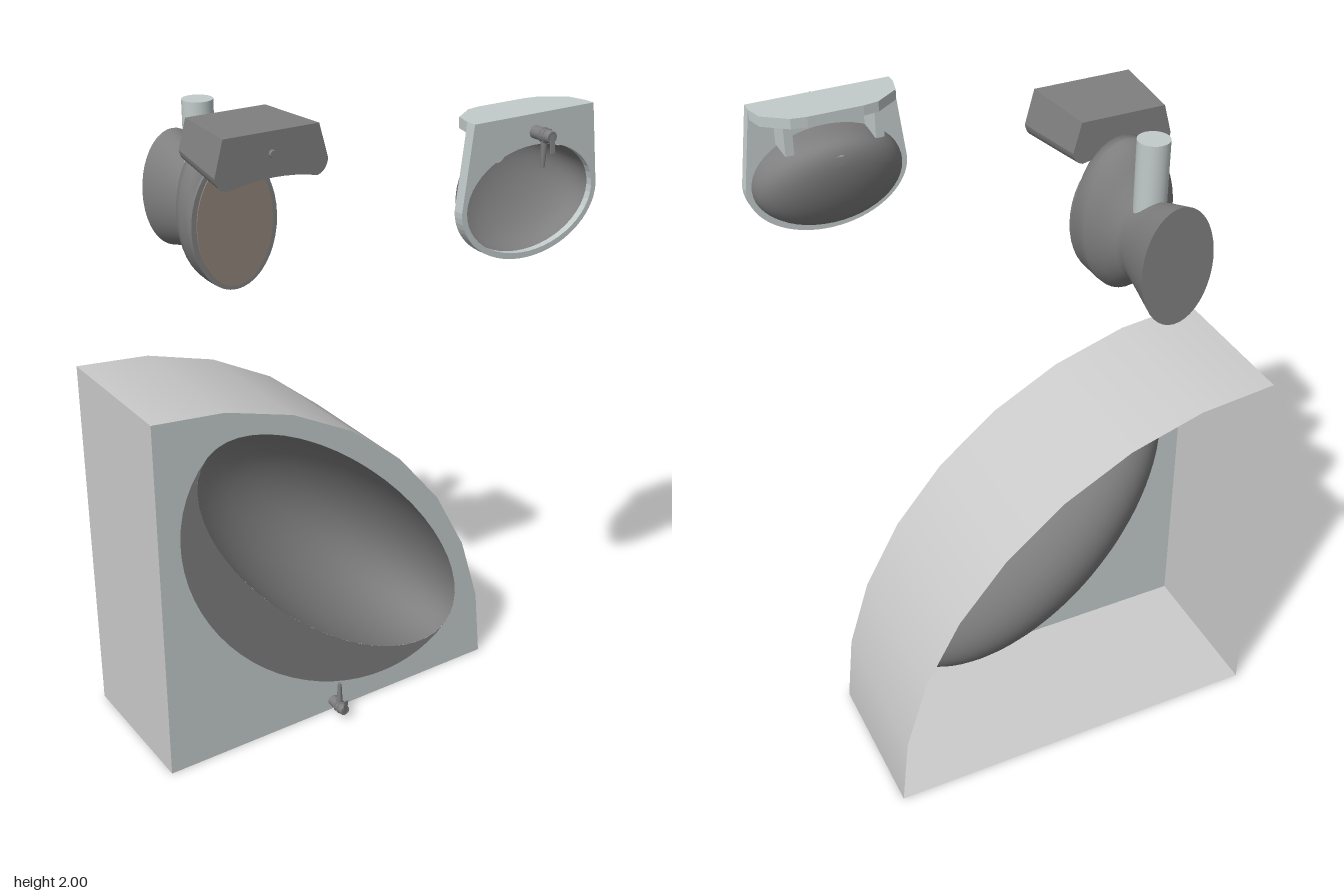
import * as THREE from 'three';
import { mergeVertices } from 'three/addons/utils/BufferGeometryUtils.js';

const mat = (color) => new THREE.MeshStandardMaterial({ color, side: THREE.DoubleSide });
const grey = mat(0xcccccc), pale = mat(0xc3cbcb), dark = mat(0x7f7f7f), tan = mat(0x8f8378);

function add(parent, name, geometry, material, x = 0, y = 0, z = 0) {
  const mesh = new THREE.Mesh(geometry, material);
  mesh.name = name;
  mesh.position.set(x, y, z);
  parent.add(mesh);
  return mesh;
}

function group(parent, name, x = 0, y = 0, z = 0) {
  const g = new THREE.Group();
  g.name = name;
  g.position.set(x, y, z);
  parent.add(g);
  return g;
}

// Points on an ellipse from angle a to angle b
function arc(rx, ry, a, b, n, cx = 0, cy = 0) {
  return Array.from({ length: n + 1 }, (_, i) => {
    const t = a + ((b - a) * i) / n;
    return new THREE.Vector2(cx + rx * Math.cos(t), cy + ry * Math.sin(t));
  });
}

// Half ellipsoid, open towards +z
function halfBowl(rx, ry, depth) {
  return new THREE.SphereGeometry(1, 48, 16, 0, Math.PI * 2, Math.PI / 2, Math.PI / 2)
    .rotateX(Math.PI / 2).scale(rx, ry, depth);
}

// Smooth loft of ellipses along z; each section is [z, centreY, rx, ry]
function loft(sections) {
  const g = new THREE.LatheGeometry(sections.map((_, i) => new THREE.Vector2(1, i)), 40);
  g.rotateX(Math.PI / 2);
  const p = g.attributes.position;
  for (let i = 0; i < p.count; i++) {
    const [z, cy, rx, ry] = sections[Math.round(p.getZ(i))];
    p.setXYZ(i, p.getX(i) * rx, cy + p.getY(i) * ry, z);
  }
  g.deleteAttribute('uv');
  g.deleteAttribute('normal');
  const merged = mergeVertices(g, 1e-5);
  merged.computeVertexNormals();
  return merged;
}

// Tap standing out along +z, spout pointing to -y
function addTap(parent, x, y, z) {
  const tap = group(parent, 'tap', x, y, z);
  add(tap, 'tapBody', new THREE.CylinderGeometry(0.018, 0.018, 0.06, 16).rotateX(Math.PI / 2), dark, 0, 0, 0.03);
  for (const rz of [0.037, 0.052])
    add(tap, 'tapRing', new THREE.TorusGeometry(0.018, 0.003, 6, 16), dark, 0, 0, rz);
  add(tap, 'tapCap', new THREE.CylinderGeometry(0.016, 0.018, 0.013, 16).rotateX(Math.PI / 2), dark, 0, 0, 0.066);
  add(tap, 'spout', new THREE.CylinderGeometry(0.011, 0.006, 0.09, 12), dark, 0, -0.045, 0.04);
  const lever = add(tap, 'lever', new THREE.BoxGeometry(0.014, 0.055, 0.004), dark, 0, -0.016, 0.074);
  lever.rotation.x = -0.15;
  return tap;
}

function addBath(root) {
  const bath = group(root, 'cornerBath', -0.645, 0, 0.04);
  const R = 1.21, H = 0.48, long = 0.628, short = 0.26, wide = 0.443, c = 0.615;
  const tilt = (pts) => pts.map((p) => p.clone().rotateAround(new THREE.Vector2(), -Math.PI / 4).addScalar(c));

  // Rim with a lopsided oval opening
  const rim = new THREE.Shape([new THREE.Vector2(0, 0), ...arc(R, R, 0, Math.PI / 2, 8)]);
  rim.holes.push(new THREE.Path(tilt([
    ...arc(long, short, 0, Math.PI, 32), ...arc(long, wide, Math.PI, Math.PI * 2, 32).slice(1, -1)])));
  add(bath, 'bathRim', new THREE.ShapeGeometry(rim), pale);

  // Crescent ledge beside the basin
  const ledge = new THREE.Shape(tilt([
    ...arc(long, wide, Math.PI, Math.PI * 2, 32), ...arc(long, short, Math.PI * 2, Math.PI, 32).slice(1, -1)]));
  add(bath, 'bathLedge', new THREE.ShapeGeometry(ledge), dark);
  add(bath, 'bathBasin', halfBowl(long, short, 0.4).rotateZ(-Math.PI / 4), dark, c, c, 0);

  // Curved apron and the two straight walls, open at the back
  add(bath, 'curvedApron', new THREE.CylinderGeometry(R, R, H, 8, 1, true, Math.PI / 2, Math.PI / 2)
    .rotateX(Math.PI / 2), grey, 0, 0, -H / 2);
  add(bath, 'sideWall', new THREE.PlaneGeometry(H, R).rotateY(-Math.PI / 2), grey, 0, R / 2, -H / 2);
  add(bath, 'lowerWall', new THREE.PlaneGeometry(R, H).rotateX(Math.PI / 2), grey, R / 2, 0, -H / 2);

  addTap(bath, 0.6, 0.035, 0).rotation.z = Math.PI;
}

function addToilet(root) {
  const toilet = group(root, 'toilet', -0.285, 0, 0);
  add(toilet, 'toiletBowl', loft([
    [-0.44, 1.702, 0.108, 0.178], [-0.35, 1.697, 0.09, 0.15], [-0.27, 1.69, 0.075, 0.122],
    [-0.25, 1.692, 0.08, 0.13], [-0.21, 1.705, 0.112, 0.182], [-0.175, 1.715, 0.138, 0.222],
    [-0.15, 1.715, 0.14, 0.225], [-0.115, 1.715, 0.14, 0.225], [-0.1, 1.69, 0.138, 0.197],
  ]), dark);
  const foot = add(toilet, 'footCap', new THREE.CircleGeometry(1, 40).rotateY(Math.PI), dark, 0, 1.702, -0.44);
  foot.scale.set(0.108, 0.178, 1);
  // Seat and lid
  for (const [name, rx, ry, z, m] of [['seat', 0.138, 0.197, -0.096, dark], ['lid', 0.122, 0.185, -0.092, tan]]) {
    const part = add(toilet, name, new THREE.CylinderGeometry(1, 1, 0.014, 40).rotateX(Math.PI / 2), m, 0, 1.69, z);
    part.scale.set(rx, ry, 1);
  }

  // Tank narrowing towards the back
  const s = new THREE.Shape();
  s.moveTo(0.147, 0);
  s.lineTo(-0.147, 0);
  s.lineTo(-0.175, -0.1);
  s.quadraticCurveTo(-0.17, -0.135, -0.14, -0.142);
  s.quadraticCurveTo(0, -0.108, 0.14, -0.142);
  s.quadraticCurveTo(0.17, -0.135, 0.175, -0.1);
  const tank = new THREE.ExtrudeGeometry(s, { depth: 0.24, bevelEnabled: false, curveSegments: 8 });
  const p = tank.attributes.position;
  for (let i = 0; i < p.count; i++)
    if (p.getZ(i) < 0.1) p.setXY(i, p.getX(i) * 0.85, p.getY(i) * 0.85);
  tank.computeVertexNormals();
  add(toilet, 'tank', tank, dark, 0, 2, -0.12);
  add(toilet, 'flushButton', new THREE.CylinderGeometry(0.011, 0.011, 0.012, 16).rotateX(Math.PI / 2), dark, 0, 1.94, 0.125);

  add(toilet, 'wastePipe', new THREE.CylinderGeometry(0.045, 0.045, 0.24, 24), pale, 0, 1.88, -0.28);
}

function addSink(root) {
  const sink = group(root, 'washbasin', 0.4, 0, 0);
  // Front plate with oval opening
  const plate = new THREE.Shape([
    new THREE.Vector2(0.208, 2), new THREE.Vector2(-0.208, 2),
    ...arc(0.24, 0.17, Math.PI, Math.PI * 2, 32, 0, 1.76)]);
  plate.holes.push(new THREE.Path(arc(0.223, 0.153, 0, Math.PI * 2, 48, 0, 1.76).slice(0, -1)));
  add(sink, 'sinkPlate', new THREE.ExtrudeGeometry(plate, { depth: 0.033, bevelEnabled: false }), pale, 0, 0, 0.332);

  // Basin, its deepest point shifted towards the tap
  const bowl = halfBowl(0.223, 0.153, 0.14);
  const p = bowl.attributes.position;
  for (let i = 0; i < p.count; i++) p.setY(i, p.getY(i) + 0.085 * (p.getZ(i) / 0.14) ** 2);
  bowl.computeVertexNormals();
  add(sink, 'sinkBasin', bowl, dark, 0, 1.76, 0.345);
  add(sink, 'drain', new THREE.CylinderGeometry(0.025, 0.025, 0.008, 20).rotateX(Math.PI / 2), grey, 0, 1.85, 0.212);

  // Flange along the wall, tapering away from the plate
  const half = [[0.208, 0.332], [0.195, 0.28], [0.125, 0.23], [0.08, 0.223]];
  const flange = new THREE.Shape([...half, ...half.map(([x, z]) => [-x, z]).reverse()]
    .map(([x, z]) => new THREE.Vector2(x, -z)));
  add(sink, 'wallFlange', new THREE.ExtrudeGeometry(flange, { depth: 0.03, bevelEnabled: false })
    .rotateX(-Math.PI / 2), pale, 0, 1.97, 0);
  for (const side of [-1, 1])
    add(sink, 'flangeBracket', new THREE.BoxGeometry(0.025, 0.09, 0.087), pale, side * 0.13, 1.93, 0.289);

  addTap(sink, 0, 1.95, 0.365);
}

export function createModel() {
  const root = new THREE.Group();
  root.name = 'bathroomSet';
  addBath(root);
  addToilet(root);
  addSink(root);
  return root;
}
